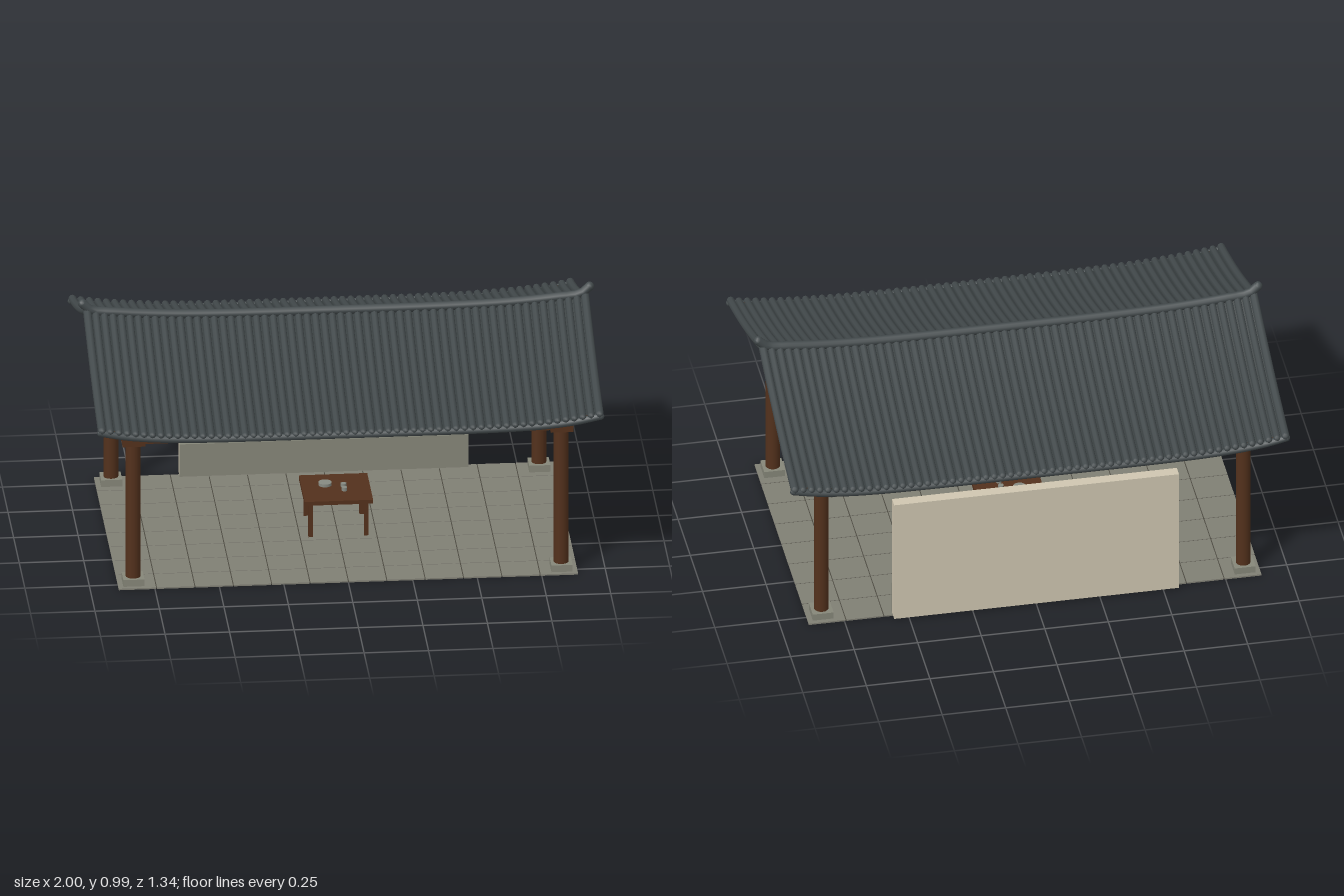
import * as THREE from 'three';

const mat = (name, color, side = THREE.FrontSide) => {
  const m = new THREE.MeshStandardMaterial({ color, side });
  m.name = name;
  return m;
};

export function createModel() {
  const model = new THREE.Group();
  model.name = 'openPavilion';
  const M = {
    wood: mat('brown wood', 0x53311c),
    lattice: mat('dark lattice wood', 0x3b2318),
    pane: mat('dark window pane', 0x362423),
    tile: mat('slate roof tile', 0x434a4c),
    bed: mat('dark roof bed', 0x363d3e, THREE.DoubleSide),
    plaster: mat('cream plaster', 0xcfc6b0),
    stone: mat('grey stone', 0x868779),
    floor: mat('paving', 0x807f74),
    joint: mat('paving joint', 0x4c4a41),
    ware: mat('grey tableware', 0x868a82),
  };
  const add = (name, geo, material, x = 0, y = 0, z = 0, parent = model) => {
    const mesh = new THREE.Mesh(geo, material);
    mesh.name = name;
    mesh.position.set(x, y, z);
    parent.add(mesh);
    return mesh;
  };
  const box = (name, w, h, d, material, x, y, z, parent) =>
    add(name, new THREE.BoxGeometry(w, h, d), material, x, y, z, parent);
  const group = (name, parent = model) => {
    const g = new THREE.Group();
    g.name = name;
    parent.add(g);
    return g;
  };

  // Paved floor: tiles with a thin recessed joint sheet between them
  const paving = group('floor');
  const fw = 1.785, fd = 1.11, cols = 12, rows = 8, tw = fw / cols, td = fd / rows;
  box('floorJoints', fw - 0.006, 0.002, fd - 0.006, M.joint, 0, 0.003, 0, paving);
  for (let i = 0; i < cols; i++)
    for (let j = 0; j < rows; j++)
      box('floorTile', tw - 0.004, 0.006, td - 0.004, M.floor,
        (i + 0.5) * tw - fw / 2, 0.003, (j + 0.5) * td - fd / 2, paving);

  // Columns, beams and rails
  const frame = group('timberFrame');
  for (const sx of [-1, 1]) {
    for (const sz of [-1, 1]) {
      const x = sx * 0.83, z = sz * 0.494;
      box('columnBase', 0.082, 0.034, 0.082, M.stone, x, 0.017, z, frame);
      add('column', new THREE.CylinderGeometry(0.029, 0.029, 0.585, 16), M.wood, x, 0.3265, z, frame);
      box('capital', 0.088, 0.036, 0.088, M.wood, x, 0.611, z, frame);
    }
    box('crossBeam', 0.056, 0.048, 0.98, M.wood, sx * 0.83, 0.652, 0, frame);
  }
  for (const sz of [-1, 1]) {
    box('longBeam', 1.79, 0.052, 0.06, M.wood, 0, 0.653, sz * 0.494, frame);
    box('lowerRail', 1.64, 0.017, 0.03, M.wood, 0, 0.6, sz * 0.494, frame);
    for (let i = -2; i <= 2; i++)
      box('railBlock', 0.022, 0.022, 0.03, M.wood, i * 0.275, 0.618, sz * 0.494, frame);
  }

  // Roof surface: concave slope from ridge to eave, lifted toward both ends
  const lift = (x, power = 4) => 0.042 * Math.pow(Math.abs(x) / 0.97, power);
  const slopeY = (t) => 0.896 - 0.226 * t - 0.06 * t * (1 - t);
  const roofPoint = (x, t, side, dy = 0) =>
    new THREE.Vector3(x, slopeY(t) + lift(x) + dy, side * 0.655 * t);
  const tube = (name, points, r, segs, parent, sides = 8) => {
    add(name, new THREE.TubeGeometry(new THREE.CatmullRomCurve3(points), segs, r, sides),
      M.tile, 0, 0, 0, parent);
    for (const p of [points[0], points[points.length - 1]])
      add(name + 'End', new THREE.SphereGeometry(r, sides, 6), M.tile, p.x, p.y, p.z, parent);
  };
  const steps = (n, f) => Array.from({ length: n + 1 }, (_, i) => f(i / n));

  const roof = group('roof');
  const ribs = 60, pitch = 1.93 / (ribs - 1);
  for (const side of [-1, 1]) {
    const bed = new THREE.PlaneGeometry(1.93, 1, 40, 8);
    const p = bed.attributes.position;
    for (let i = 0; i < p.count; i++) {
      const v = roofPoint(p.getX(i), p.getY(i) + 0.5, side);
      p.setXYZ(i, v.x, v.y, v.z);
    }
    bed.computeVertexNormals();
    add('roofBed', bed, M.bed, 0, 0, 0, roof);

    for (let i = 0; i < ribs; i++) {
      const edge = i === 0 || i === ribs - 1;
      tube(edge ? 'vergeRoll' : 'tileRib',
        steps(8, (t) => roofPoint(-0.965 + i * pitch, t, side, 0.003)),
        edge ? 0.016 : 0.014, 8, roof);
    }
    // Eave roll, hanging a little lower than the ribs toward the ends
    tube('eaveRoll', steps(24, (s) => {
      const x = 1.94 * (s - 0.5);
      return new THREE.Vector3(x, slopeY(1) - 0.007 + lift(x, 6), side * 0.655);
    }), 0.014, 48, roof);

    // Short rafter ends tucked under the eave
    for (let i = 0; i < 20; i++) {
      const x = (i - 9.5) * 0.0975;
      box('rafterEnd', 0.026, 0.02, 0.054, M.wood, x, 0.662 + lift(x), side * 0.617, roof);
    }
  }
  // Ridge roll with upturned tips
  const ridge = steps(20, (s) => {
    const x = 1.9 * (s - 0.5);
    return new THREE.Vector3(x, 0.91 + lift(x) * 0.9, 0);
  });
  ridge.unshift(new THREE.Vector3(-0.983, 0.973, 0));
  ridge.push(new THREE.Vector3(0.983, 0.973, 0));
  tube('ridgeRoll', ridge, 0.018, 60, roof, 12);

  // Back wall with a stone plinth and three lattice windows
  const wall = group('backWall');
  box('wallPanel', 1.12, 0.533, 0.044, M.plaster, 0, 0.2725, -0.561, wall);
  box('wallPlinth', 1.12, 0.138, 0.012, M.stone, 0, 0.073, -0.533, wall);
  for (const x of [-0.362, 0, 0.362]) {
    const win = group('window', wall);
    win.position.set(x, 0.344, -0.539);
    box('windowPane', 0.3, 0.24, 0.006, M.pane, 0, 0, 0.003, win);
    for (const s of [-1, 1]) {
      box('frameStile', 0.017, 0.258, 0.016, M.wood, s * 0.151, 0, 0.008, win);
      box('frameRail', 0.319, 0.017, 0.016, M.wood, 0, s * 0.1205, 0.008, win);
    }
    for (const vx of [-0.133, -0.085, -0.05, -0.02, 0.02, 0.05, 0.085, 0.133])
      box('latticeBar', 0.006, 0.226, 0.009, M.lattice, vx, 0, 0.0045, win);
    for (const vy of [-0.1, -0.053])
      box('latticeRail', 0.285, 0.008, 0.01, M.lattice, 0, vy, 0.005, win);
  }

  // Table and tableware
  const table = group('table');
  box('tableTop', 0.265, 0.016, 0.265, M.wood, 0, 0.156, 0, table);
  for (const sx of [-1, 1])
    for (const sz of [-1, 1])
      box('tableLeg', 0.017, 0.14, 0.017, M.wood, sx * 0.108, 0.078, sz * 0.106, table);
  const ware = (name, r, h, x, z) =>
    add(name, new THREE.CylinderGeometry(r, r, h, 16), M.ware, x, 0.164 + h / 2, z, table);
  ware('bowl', 0.026, 0.012, -0.04, -0.03);
  ware('cup', 0.011, 0.014, 0.03, 0.03);
  ware('cup', 0.011, 0.014, 0.03, -0.01);

  return model;
}
